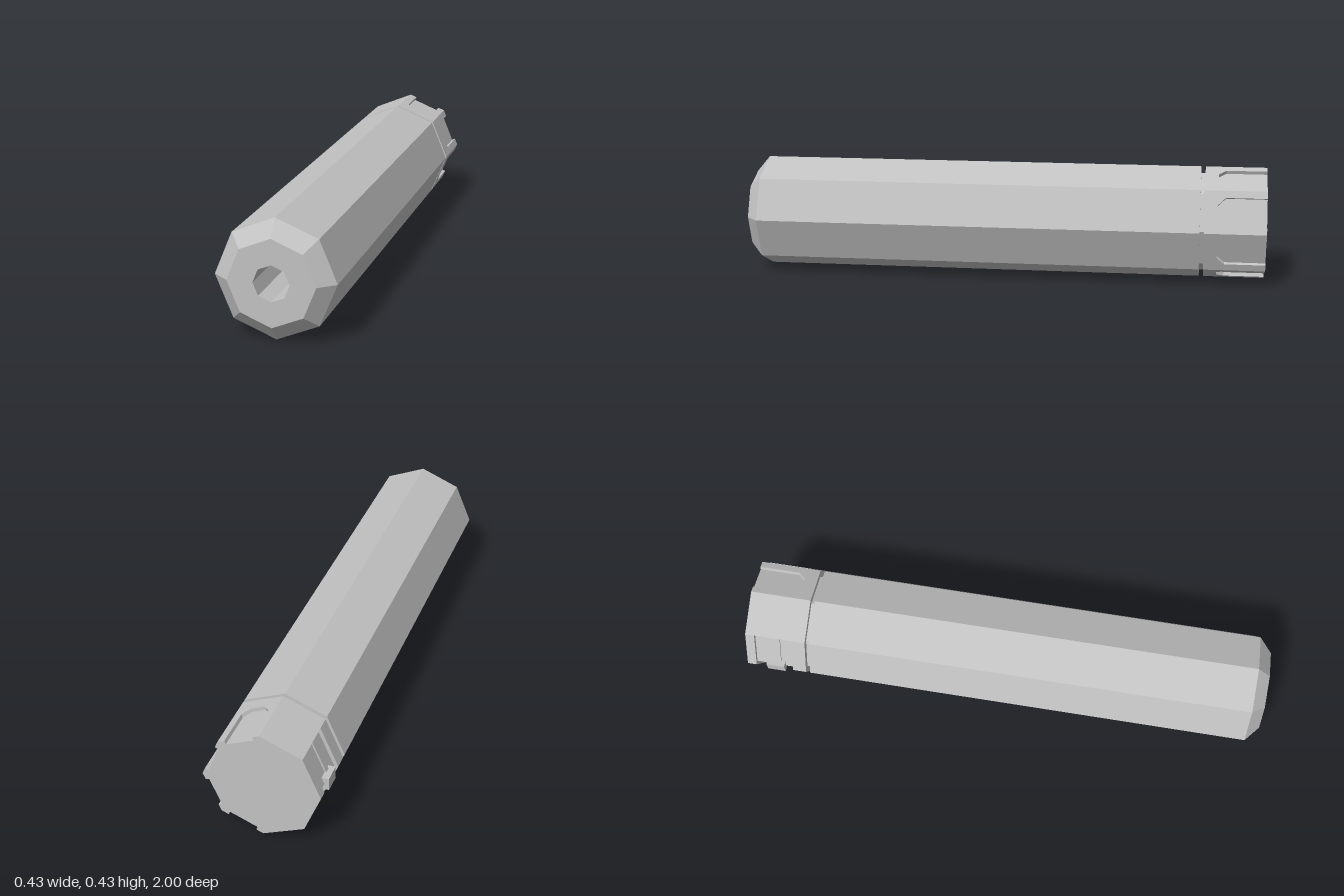
import * as THREE from 'three';

const CENTER_Y = 0.2175, R = 0.216, CORE_R = 0.201, TAN = Math.tan(Math.PI / 8);
const CORE_APOTHEM = CORE_R * Math.cos(Math.PI / 8);
const DEPTH = (R - CORE_R) * Math.cos(Math.PI / 8);
const FRONT = -0.768, LENGTH = 0.232; // collar start and length along z

export function createModel() {
  const metal = new THREE.MeshStandardMaterial({ color: 0xc2c2c2, flatShading: true });
  metal.name = 'grey metal';
  const model = new THREE.Group();
  model.name = 'octagonalTube';

  const add = (name, geometry, parent = model) => {
    const mesh = new THREE.Mesh(geometry, metal);
    mesh.name = name;
    parent.add(mesh);
    return mesh;
  };

  // Eight-sided solid along z from [radius, z] pairs
  const octagon = (name, profile) => {
    const g = new THREE.LatheGeometry(profile.map(([r, z]) => new THREE.Vector2(r, z)), 8);
    g.rotateX(Math.PI / 2);
    g.translate(0, CENTER_Y, 0);
    return add(name, g);
  };

  // Main tube with chamfered nose and bore
  octagon('mainTube', [[0.17, -0.752], [R, -0.752], [R, 0.95], [0.157, 1], [0.065, 1], [0.065, -0.7], [0, -0.7]]);
  octagon('neck', [[0.19, -0.79], [0.19, -0.74]]);
  octagon('collarCore', [[0, -1], [CORE_R, -1], [CORE_R, FRONT], [0.17, FRONT]]);

  // Plate on one face of the collar, mitred to meet its neighbours
  const collar = new THREE.Group();
  collar.name = 'collarPlates';
  model.add(collar);
  const plate = (name, face, points, depth = DEPTH) => {
    const shape = new THREE.Shape(points.map(([u, v]) => new THREE.Vector2(u, v)));
    const g = new THREE.ExtrudeGeometry(shape, { depth, bevelEnabled: false });
    const half = (CORE_APOTHEM + depth) * TAN, p = g.attributes.position;
    for (let i = 0; i < p.count; i++) {
      if (Math.abs(p.getX(i)) > half - 1e-4 && p.getZ(i) < 1e-5) {
        p.setX(i, Math.sign(p.getX(i)) * CORE_APOTHEM * TAN);
      }
    }
    const angle = (face + 0.5) * Math.PI / 4, c = Math.cos(angle), s = Math.sin(angle);
    const m = new THREE.Matrix4().makeBasis(
      new THREE.Vector3(s, -c, 0), new THREE.Vector3(0, 0, -1), new THREE.Vector3(c, s, 0));
    m.setPosition(c * CORE_APOTHEM, CENTER_Y + s * CORE_APOTHEM, FRONT);
    g.applyMatrix4(m);
    add(name, g, collar);
  };
  const band = (v0, v1, depth = DEPTH) => {
    const h = (CORE_APOTHEM + depth) * TAN;
    return [[-h, v0], [h, v0], [h, v1], [-h, v1]];
  };

  // Four faces with pockets open at the rear
  const h = R * Math.sin(Math.PI / 8), w = 0.055, start = 0.05, cut = 0.028;
  for (const face of [0, 1, 6, 7]) {
    plate('pocketPlate', face, [
      [-h, 0], [h, 0], [h, LENGTH], [w, LENGTH], [w, start + cut], [w - cut, start],
      [cut - w, start], [-w, start + cut], [-w, LENGTH], [-h, LENGTH]]);
  }
  // Two plain faces
  for (const face of [2, 5]) plate('plainPlate', face, band(0, LENGTH));
  // Two faces cut by the latch slot, with a thin rib in it
  for (const face of [3, 4]) {
    plate('slotFrontBand', face, band(0, 0.052));
    plate('slotRearBand', face, band(0.197, LENGTH));
    plate('slotRib', face, band(0.1, 0.122, 0.006), 0.006);
  }

  // Latch button in the slot
  const latch = add('latchButton', new THREE.BoxGeometry(0.027, 0.048, 0.07));
  latch.position.set(-0.204, CENTER_Y + 0.001, -0.887);

  return model;
}
